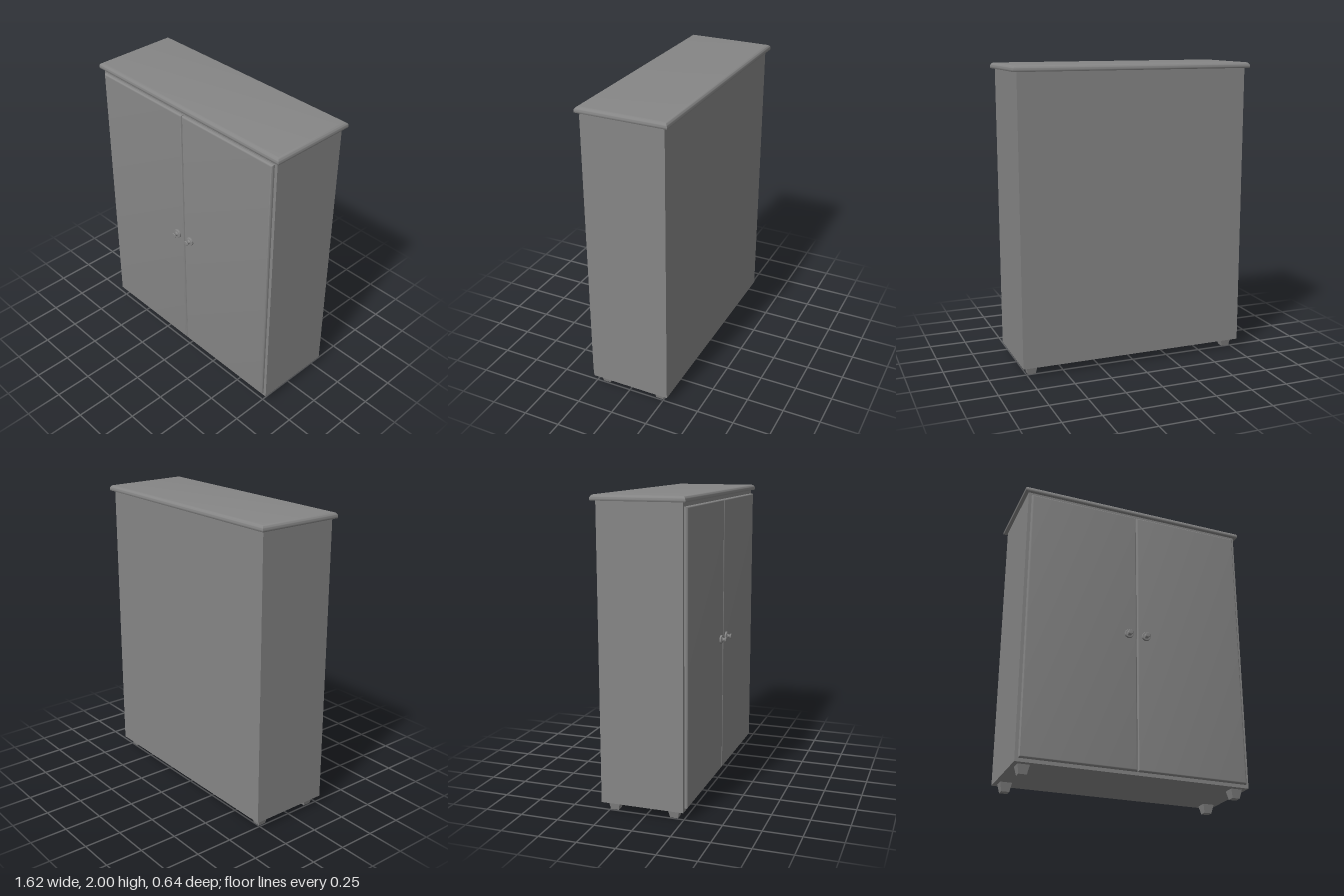
import * as THREE from 'three';
import { toCreasedNormals } from 'three/addons/utils/BufferGeometryUtils.js';

const material = new THREE.MeshStandardMaterial({ color: 0x868686 });

// Closed solid from stacked rectangles: each step is [height, inset], mitred at the corners.
function steppedSlab(width, depth, steps) {
  const pos = [], index = [];
  steps.forEach(([y, inset]) => {
    const x = width / 2 - inset, z = depth / 2 - inset;
    pos.push(-x, y, z, x, y, z, x, y, -z, -x, y, -z);
  });
  for (let r = 0; r < steps.length - 1; r++) {
    for (let i = 0; i < 4; i++) {
      const a = r * 4 + i, b = r * 4 + (i + 1) % 4;
      index.push(a, b, b + 4, a, b + 4, a + 4);
    }
  }
  const t = (steps.length - 1) * 4;
  index.push(0, 2, 1, 0, 3, 2, t, t + 1, t + 2, t, t + 2, t + 3);
  const geometry = new THREE.BufferGeometry();
  geometry.setAttribute('position', new THREE.Float32BufferAttribute(pos, 3));
  geometry.setIndex(index);
  return toCreasedNormals(geometry, 0.7);
}

// Quarter-round steps that end at height top, for slab edges.
function roundedEdge(top, radius, count = 6) {
  return Array.from({ length: count + 1 }, (_, i) => {
    const a = (i / count) * Math.PI / 2;
    return [top - radius + radius * Math.sin(a), radius * (1 - Math.cos(a))];
  });
}

export function createModel() {
  const group = new THREE.Group();
  const add = (name, geometry, x, y, z) => {
    const mesh = new THREE.Mesh(geometry, material);
    mesh.name = name;
    mesh.position.set(x, y, z);
    group.add(mesh);
    return mesh;
  };

  // Carcass
  add('cabinetBody', new THREE.BoxGeometry(1.564, 1.906, 0.549), 0, 1.011, -0.0185);

  // Overhanging top with a rounded edge
  const topSteps = [[0, 0.002], [0.003, 0], ...roundedEdge(0.037, 0.024)];
  add('topBoard', steppedSlab(1.616, 0.598, topSteps), 0, 1.963, -0.021);

  // Doors, soft-edged at the front
  const doorGeometry = steppedSlab(0.76, 1.856, [[0, 0], ...roundedEdge(0.022, 0.012)]);
  doorGeometry.rotateX(Math.PI / 2);

  // Knob: back plate, waisted stem and flared head
  const profile = [[0, 0], [0.03, 0], [0.03, 0.009], [0.027, 0.012], [0.017, 0.013],
    [0.011, 0.019], [0.01, 0.027], [0.017, 0.033], [0.018, 0.037], [0.014, 0.041], [0, 0.042]];
  const lathe = new THREE.LatheGeometry(profile.map(([r, y]) => new THREE.Vector2(r, y)), 20);
  const knobGeometry = toCreasedNormals(lathe, 0.6);
  knobGeometry.rotateX(Math.PI / 2);

  // Tapered square feet
  const footGeometry = steppedSlab(0.078, 0.078, [[0, 0.013], [0.06, 0]]);

  for (const [side, s] of [['left', 1], ['right', -1]]) {
    add(side + 'Door', doorGeometry, s * 0.3815, 1.009, 0.256);
    add(side + 'Knob', knobGeometry, s * 0.061, 1.01, 0.278);
    add(side + 'FrontFoot', footGeometry, s * 0.714, 0, 0.181);
    add(side + 'BackFoot', footGeometry, s * 0.714, 0, -0.22);
  }
  return group;
}
